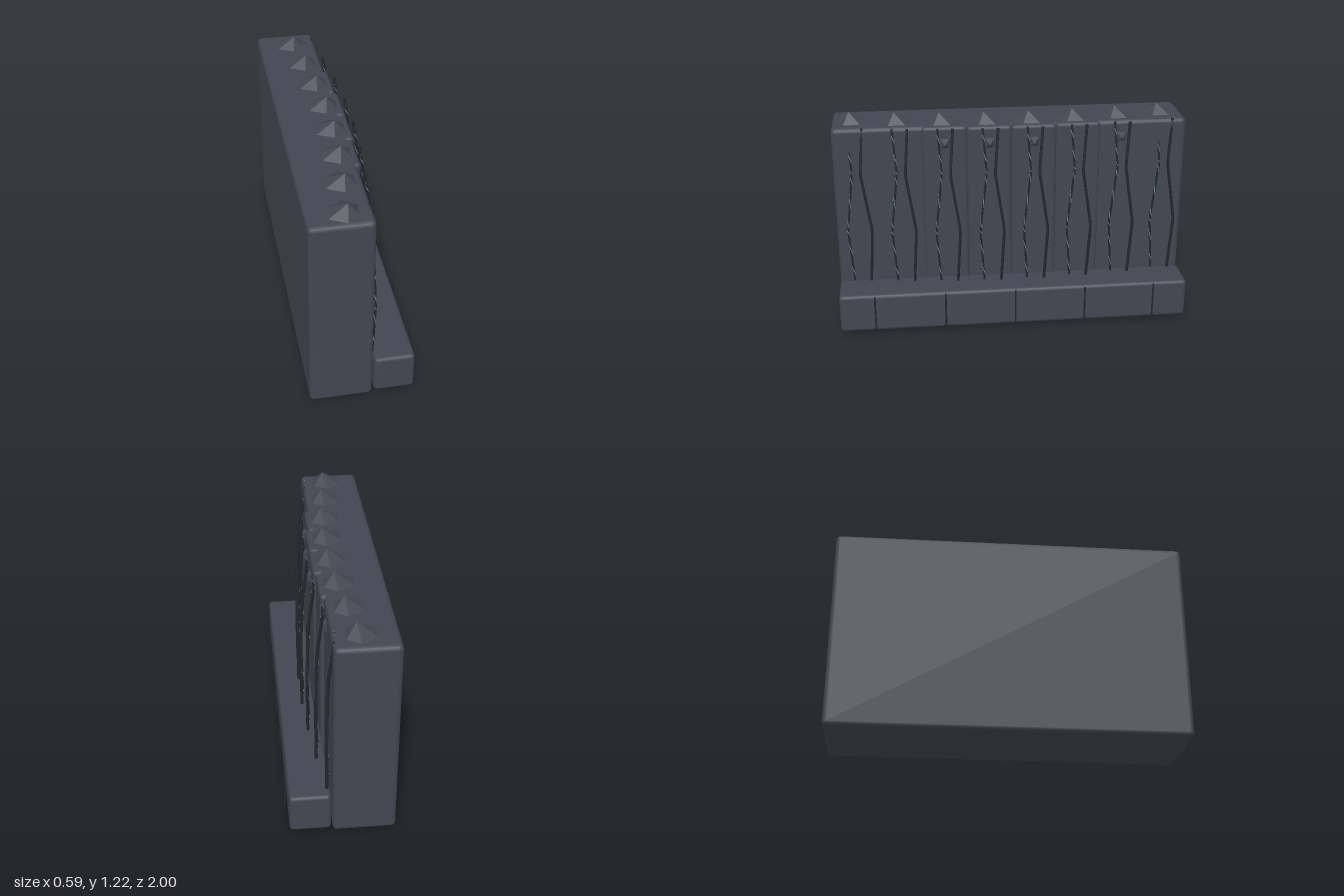
import * as THREE from 'three';
import { RoundedBoxGeometry } from 'three/addons/geometries/RoundedBoxGeometry.js';

const mat = (name, color, flatShading = false) => {
  const m = new THREE.MeshStandardMaterial({ color, flatShading });
  m.name = name;
  return m;
};

export function createModel() {
  const group = new THREE.Group();
  group.name = 'rockWall';
  const stone = mat('slate stone', 0x424650);
  const rock = mat('faceted rock', 0x42464f, true);
  const dark = mat('dark vine', 0x23272d);
  const pale = mat('pale blue strand', 0x6c8793);

  const add = (name, geo, material, x = 0, y = 0, z = 0) => {
    const m = new THREE.Mesh(geo, material);
    m.name = name;
    m.position.set(x, y, z);
    group.add(m);
    return m;
  };
  // rounded block given by its x, y and z limits
  const block = (name, x0, x1, y0, y1, z0, z1, r) =>
    add(name, new RoundedBoxGeometry(x1 - x0, y1 - y0, z1 - z0, 2, r), stone,
      (x0 + x1) / 2, (y0 + y1) / 2, (z0 + z1) / 2);
  // kinked strand through a few points
  const strand = (name, pts, r, material) => {
    const curve = new THREE.CatmullRomCurve3(pts.map(p => new THREE.Vector3(...p)), false, 'catmullrom', 0);
    add(name, new THREE.TubeGeometry(curve, 24, r, 6), material);
  };

  // main wall and the ledge along its foot
  block('mainWall', -0.293, 0.046, 0, 1.16, -1, 1, 0.026);
  block('ledge', 0.055, 0.275, 0.02, 0.245, -1, 1, 0.02);

  // thin rods standing before the ledge
  for (let i = -2; i <= 2; i++)
    add('ledgeRod', new THREE.CylinderGeometry(0.005, 0.005, 0.22, 8), dark, 0.288, 0.132, i * 0.4);

  // eight bays bulging forward towards the middle
  for (let i = 0; i < 8; i++) {
    const z = 0.875 - i * 0.25;
    const off = 0.09 * Math.sin(Math.PI * (i + 0.5) / 8);

    // stepped front panel (only the middle four stand proud)
    if (i > 1 && i < 6) block('frontPanel', -0.2, off - 0.009, 0, 1.16, z - 0.127, z + 0.127, 0.02);

    // low faceted rock on the crest, with an off-centre peak
    const cap = new THREE.ConeGeometry(0.112, 0.072, 6);
    const p = cap.attributes.position;
    for (let k = 0; k < p.count; k++) {
      if (p.getY(k) > 0) p.setXYZ(k, 0.015, 0.036, 0.018);
      else p.setX(k, p.getX(k) * (p.getX(k) < 0 ? 1.1 : 0.85));
    }
    cap.computeVertexNormals();
    add('crestRock', cap, rock, off - 0.112, 1.184, z + 0.008);

    // small pointed stone near the top of some bays
    if ([2, 3, 4, 6].includes(i)) {
      const spike = new THREE.ConeGeometry(0.046, 0.05, 4);
      spike.rotateY(Math.PI / 4);
      spike.rotateZ(-Math.PI / 2);
      add('smallStone', spike, rock, Math.max(0.046, off - 0.009) + 0.016, 1.065, z);
    }

    // dark vine, kinked and leaning back into the wall at the top
    const x = off - 0.088;
    strand('darkVine', [
      [x + 0.143, 0.235, z - 0.055], [x + 0.147, 0.56, z - 0.075],
      [x + 0.136, 0.9, z - 0.025], [x + 0.105, 1.16, z - 0.045]], 0.0085, dark);

    // pale strand with a dark core showing along it
    const path = [[0.128, 0.235, 0.04], [0.135, 0.56, 0.062], [0.125, 0.9, 0.022], [0.097, 1.16, 0.04]];
    strand('strandCore', path.map(q => [x + q[0], q[1], z + q[2]]), 0.0065, dark);
    const core = new THREE.CatmullRomCurve3(path.map(q => new THREE.Vector3(...q)), false, 'catmullrom', 0);
    const twist = core.getPoints(60).map((q, k) => new THREE.Vector3(
      x + q.x + 0.004 * Math.cos(k * 1.05), q.y, z + q.z + 0.004 * Math.sin(k * 1.05)));
    add('paleStrand', new THREE.TubeGeometry(new THREE.CatmullRomCurve3(twist), 120, 0.0035, 5), pale);
  }
  return group;
}
